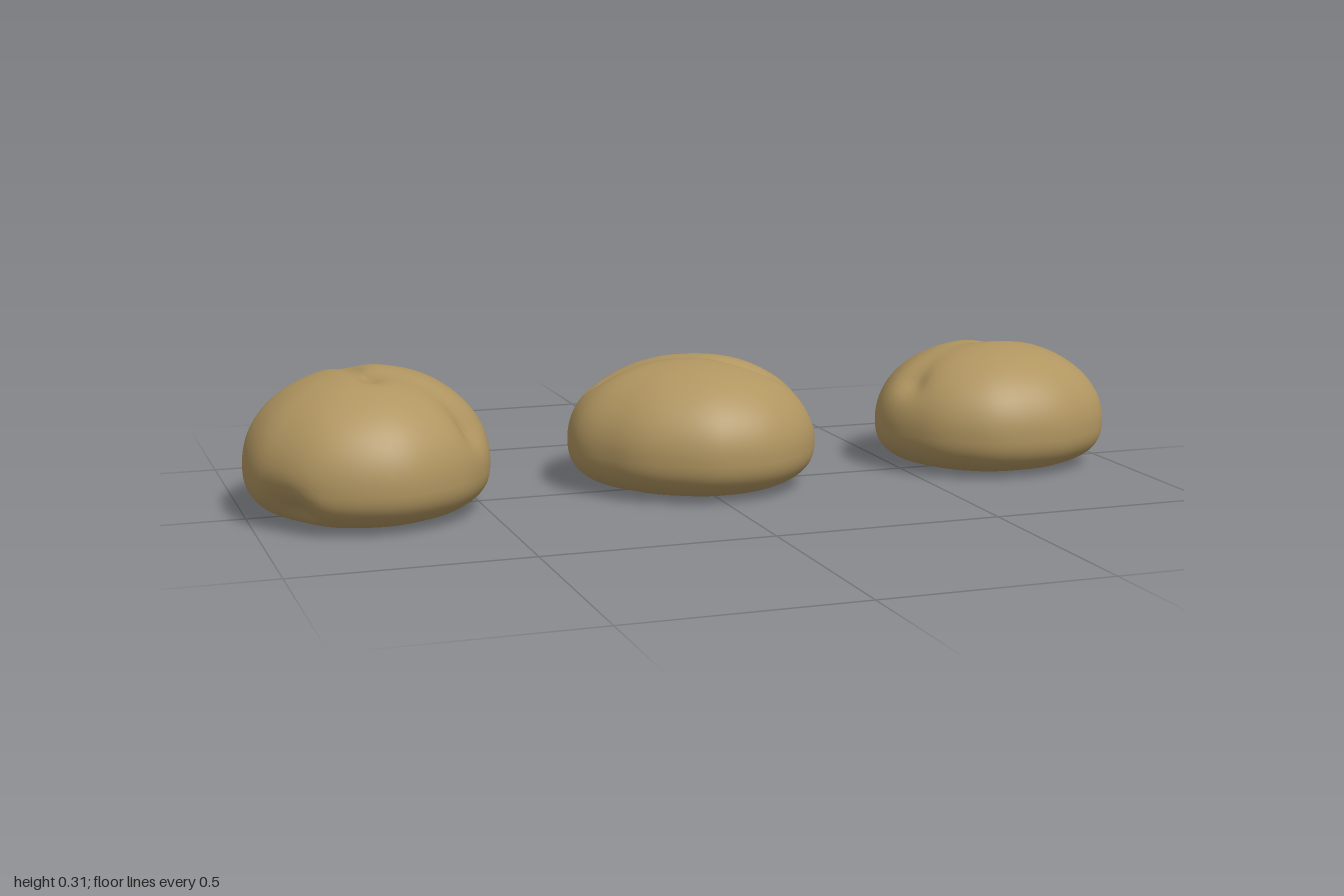
import * as THREE from 'three';
import { mergeVertices } from 'three/addons/utils/BufferGeometryUtils.js';

const MID = 0.115; // height of the widest ring

// Each roll: centre, height, plan radii every 30 degrees from +x towards +z,
// and dents as [start, end, width, depth].
const ROLLS = [
  {
    name: 'rightRoll', x: -0.74, z: 0, height: 0.318,
    radii: [0.26, 0.262, 0.27, 0.282, 0.283, 0.27, 0.26, 0.265, 0.283, 0.28, 0.288, 0.275],
    dents: [
      [[-0.77, 0.32, -0.1], [-0.74, 0.32, 0.08], 0.025, 0.016],
      [[-0.72, 0.28, 0.04], [-0.54, 0.2, 0.14], 0.04, 0.022],
      [[-0.94, 0.07, 0.13], [-0.92, 0.06, 0.18], 0.04, 0.03],
      [[-0.72, 0.08, -0.27], [-0.66, 0.08, -0.27], 0.04, 0.03],
    ],
  },
  {
    name: 'middleRoll', x: 0, z: -0.025, height: 0.297,
    radii: [0.27, 0.275, 0.273, 0.265, 0.255, 0.258, 0.28, 0.28, 0.275, 0.265, 0.27, 0.283],
    dents: [
      [[-0.18, 0.25, -0.11], [0.15, 0.26, 0.02], 0.032, 0.032],
      [[0.1, 0.26, 0.0], [0.24, 0.17, 0.04], 0.035, 0.018],
    ],
  },
  {
    name: 'leftRoll', x: 0.73, z: -0.025, height: 0.294,
    radii: [0.267, 0.268, 0.25, 0.243, 0.25, 0.257, 0.27, 0.257, 0.247, 0.245, 0.25, 0.257],
    dents: [
      [[0.52, 0.21, 0.02], [0.78, 0.28, -0.08], 0.032, 0.022],
      [[0.78, 0.28, -0.08], [0.94, 0.15, -0.13], 0.035, 0.028],
    ],
  },
];

// Smooth closed interpolation of the plan radii
function radiusAt(radii, angle) {
  const n = radii.length;
  const t = ((angle / (Math.PI * 2)) * n + n) % n;
  const i = Math.floor(t), f = t - i;
  const s = f * f * (3 - 2 * f);
  return radii[i % n] * (1 - s) + radii[(i + 1) % n] * s;
}

function rollGeometry({ x, z, height, radii, dents }) {
  const sphere = new THREE.SphereGeometry(1, 72, 48);
  sphere.deleteAttribute('uv');
  sphere.deleteAttribute('normal');
  const geometry = mergeVertices(sphere, 1e-4);
  const pos = geometry.attributes.position;
  const core = new THREE.Vector3(x, MID, z);
  const creases = dents.map(([a, b, width, depth]) => ({
    line: new THREE.Line3(new THREE.Vector3(...a), new THREE.Vector3(...b)), width, depth,
  }));
  const p = new THREE.Vector3(), near = new THREE.Vector3(), pull = new THREE.Vector3();

  for (let i = 0; i < pos.count; i++) {
    p.fromBufferAttribute(pos, i);
    const angle = Math.atan2(p.z, p.x);
    const flat = Math.min(1, Math.hypot(p.x, p.z));
    const low = p.y < 0;
    // Domed above, squarer below so the roll sits flat
    const ring = Math.pow(flat, low ? 0.72 : 0.96);
    const rise = Math.pow(Math.abs(p.y), low ? 0.72 : 0.98);
    const r = radiusAt(radii, angle) * ring;
    let y = low ? MID * (1 - rise) : MID + (height - MID) * rise;
    // Shallow hollow underneath
    if (low) y += 0.03 * Math.exp(-((r / 0.1) ** 2)) * rise;
    p.set(x + Math.cos(angle) * r, y, z + Math.sin(angle) * r);

    // Press the folds and dimples inwards
    pull.set(0, 0, 0);
    for (const { line, width, depth } of creases) {
      line.closestPointToPoint(p, true, near);
      const d = near.distanceTo(p) / width;
      pull.addScaledVector(near.copy(core).sub(p).normalize(), depth * Math.exp(-d * d));
    }
    p.add(pull);
    pos.setXYZ(i, p.x, Math.max(0, p.y), p.z);
  }
  geometry.computeVertexNormals();
  return geometry;
}

export function createModel() {
  const group = new THREE.Group();
  group.name = 'breadRolls';
  const crust = new THREE.MeshStandardMaterial({ color: 0xb09560 });
  crust.name = 'crust';
  for (const roll of ROLLS) {
    const mesh = new THREE.Mesh(rollGeometry(roll), crust);
    mesh.name = roll.name;
    group.add(mesh);
  }
  return group;
}
